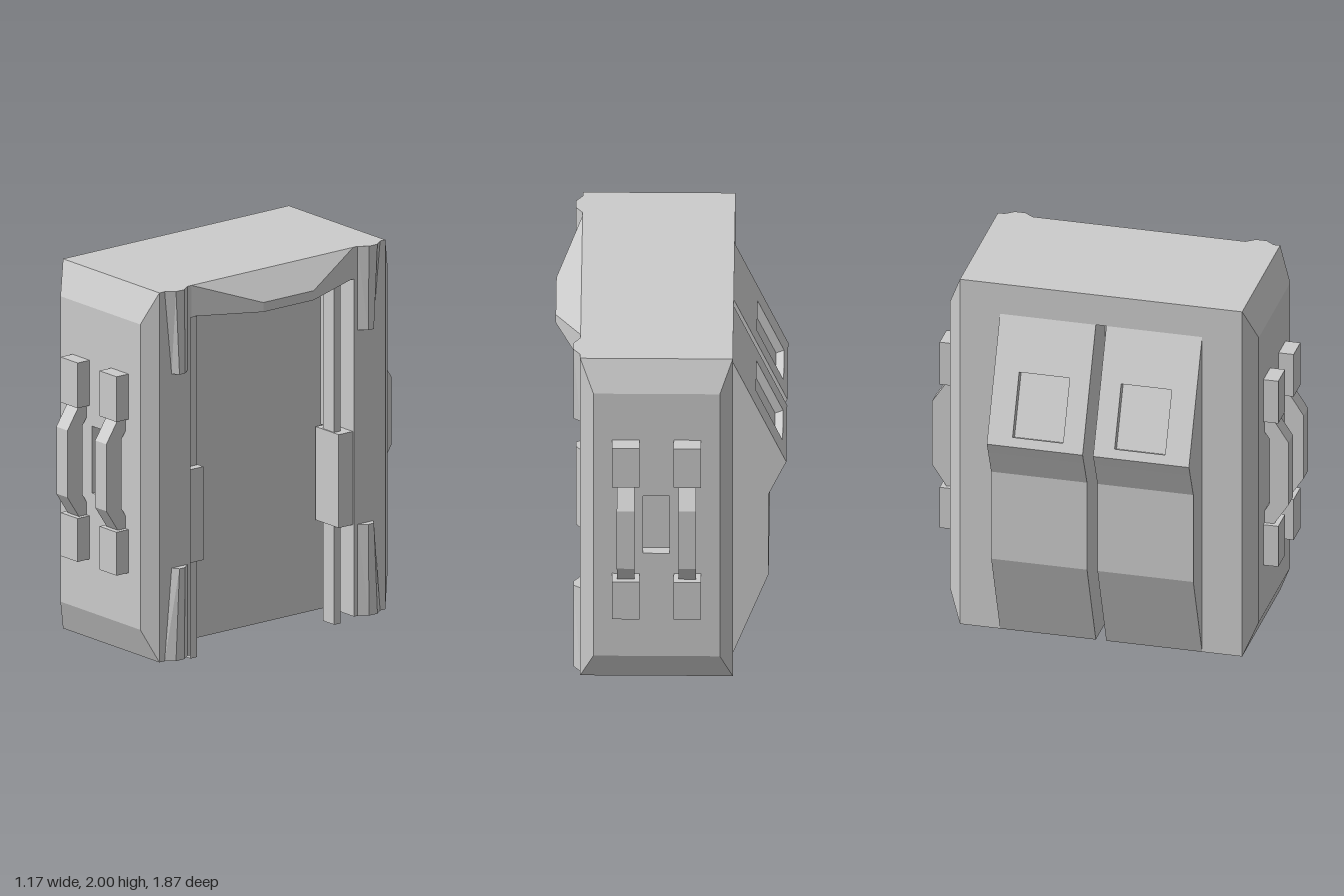
import * as THREE from 'three';
import { ConvexGeometry } from 'three/addons/geometries/ConvexGeometry.js';

const material = new THREE.MeshStandardMaterial({ color: 0xcccccc, flatShading: true });

function add(parent, name, geometry) {
  const mesh = new THREE.Mesh(geometry, material);
  mesh.name = name;
  parent.add(mesh);
  return mesh;
}

// Box given by its limits on each axis
function box(parent, name, x0, x1, y0, y1, z0, z1) {
  const g = new THREE.BoxGeometry(x1 - x0, y1 - y0, z1 - z0);
  g.translate((x0 + x1) / 2, (y0 + y1) / 2, (z0 + z1) / 2);
  return add(parent, name, g);
}

// Prism from an outline of pairs
function prism(points, depth) {
  const shape = new THREE.Shape(points.map(([a, b]) => new THREE.Vector2(a, b)));
  return new THREE.ExtrudeGeometry(shape, { depth, bevelEnabled: false });
}

// Joins four-cornered rings (counterclockwise seen from the last one) and caps both ends
function loft(rings) {
  const out = [];
  const quad = (a, b, c, d) => [a, b, c, a, c, d].forEach((p) => out.push(...p));
  for (let r = 0; r < rings.length - 1; r++) {
    for (let i = 0; i < 4; i++) {
      const j = (i + 1) % 4;
      quad(rings[r][i], rings[r][j], rings[r + 1][j], rings[r + 1][i]);
    }
  }
  quad(...[...rings[0]].reverse());
  quad(...rings[rings.length - 1]);
  const g = new THREE.BufferGeometry();
  g.setAttribute('position', new THREE.Float32BufferAttribute(out, 3));
  g.computeVertexNormals();
  return g;
}

const rectXY = (x0, x1, y0, y1, z) => [[x0, y0, z], [x1, y0, z], [x1, y1, z], [x0, y1, z]];
const slopeRing = (top, bottom, z0, z1) => [[...bottom, z0], [...bottom, z1], [...top, z1], [...top, z0]];
const ribRing = (y, wide) => {
  const z = wide ? [0.706, 0.66, 0.605, 0.557] : [0.66, 0.637, 0.6, 0.557];
  return [[0.455, y, z[0]], [0.49, y, z[1]], [0.49, y, z[2]], [0.455, y, z[3]]];
};

// Everything that is mirrored between the front and back halves
function buildHalf(name) {
  const half = new THREE.Group();
  half.name = name;

  // Bevelled end panel with a sunken slot
  add(half, 'endPanel', loft([
    rectXY(-0.32, 0.455, 0.04, 2, 0.74),
    rectXY(-0.255, 0.387, 0.21, 1.83, 0.81),
    rectXY(0, 0.135, 0.845, 1.2, 0.81),
    rectXY(0, 0.135, 0.845, 1.2, 0.76),
  ]));

  // Two angular strap handles held by clamps
  const strap = [
    [0.86, 1.305], [0.935, 1.19], [0.935, 0.835], [0.86, 0.72], [0.8, 0.72],
    [0.8, 0.77], [0.835, 0.83], [0.835, 1.2], [0.8, 1.25], [0.8, 1.305],
  ];
  for (const x of [-0.09, 0.2225]) {
    box(half, 'upperClamp', x - 0.069, x + 0.069, 1.305, 1.545, 0.8, 0.888);
    box(half, 'lowerClamp', x - 0.069, x + 0.069, 0.49, 0.72, 0.8, 0.888);
    const g = prism(strap.map(([z, y]) => [-z, y]), 0.09);
    g.rotateY(Math.PI / 2);
    g.translate(x - 0.045, 0, 0);
    add(half, 'strapHandle', g);
  }

  // Tapered ribs on the edge of the opening
  add(half, 'upperRib', loft([ribRing(1.555, false), ribRing(2, true)]));
  add(half, 'lowerRib', loft([ribRing(0.04, true), ribRing(0.525, false)]));

  // Rail and block inside the opening
  box(half, 'innerRail', 0.31, 0.4, 0, 1.82, 0.45, 0.492);
  box(half, 'railBacking', 0.24, 0.34, 1.02, 1.83, 0.49, 0.535);
  box(half, 'railBlock', 0.26, 0.445, 0.525, 1.02, 0.443, 0.54);

  // Pouch with an overhanging flap and a sunken window
  const z0 = 0.0275, z1 = 0.53;
  const pouch = prism([[-0.32, 0.04], [-0.32, 1.707], [-0.562, 1.159], [-0.5, 1.02], [-0.5, 0.525]], z1 - z0);
  pouch.translate(0, 0, z0);
  add(half, 'pouch', pouch);
  add(half, 'pouchFlap', loft([
    slopeRing([-0.32, 1.707], [-0.562, 1.159], z0, z1),
    slopeRing([-0.32, 1.83], [-0.59, 1.22], z0, z1),
    slopeRing([-0.435, 1.57], [-0.57, 1.265], 0.135, 0.4),
    slopeRing([-0.394, 1.552], [-0.529, 1.247], 0.135, 0.4),
  ]));
  return half;
}

export function createModel() {
  const model = new THREE.Group();
  model.name = 'pack';

  // Main shell: open on one long side, with a groove between the pouches on the other
  const g = 0.0275;
  const shell = prism([
    [0.455, 0.74], [0.455, 0.535], [0.24, 0.535], [0.24, -0.535], [0.455, -0.535], [0.455, -0.74],
    [-0.32, -0.74], [-0.32, -g], [-0.13, -g], [-0.13, g], [-0.32, g], [-0.32, 0.74],
  ], 1.79);
  shell.rotateX(-Math.PI / 2);
  shell.translate(0, 0.04, 0);
  add(model, 'shell', shell);
  box(model, 'roof', -0.32, 0.455, 1.83, 2, -0.74, 0.74);

  // Sloping hood over the opening
  const hood = [];
  for (const s of [-1, 1]) {
    hood.push(
      new THREE.Vector3(0.455, 2, s * 0.53), new THREE.Vector3(0.455, 1.835, s * 0.53),
      new THREE.Vector3(0.585, 1.87, s * 0.165), new THREE.Vector3(0.585, 1.82, s * 0.165),
    );
  }
  add(model, 'hood', new ConvexGeometry(hood));

  const back = buildHalf('backHalf');
  back.scale.z = -1;
  model.add(buildHalf('frontHalf'), back);
  return model;
}
